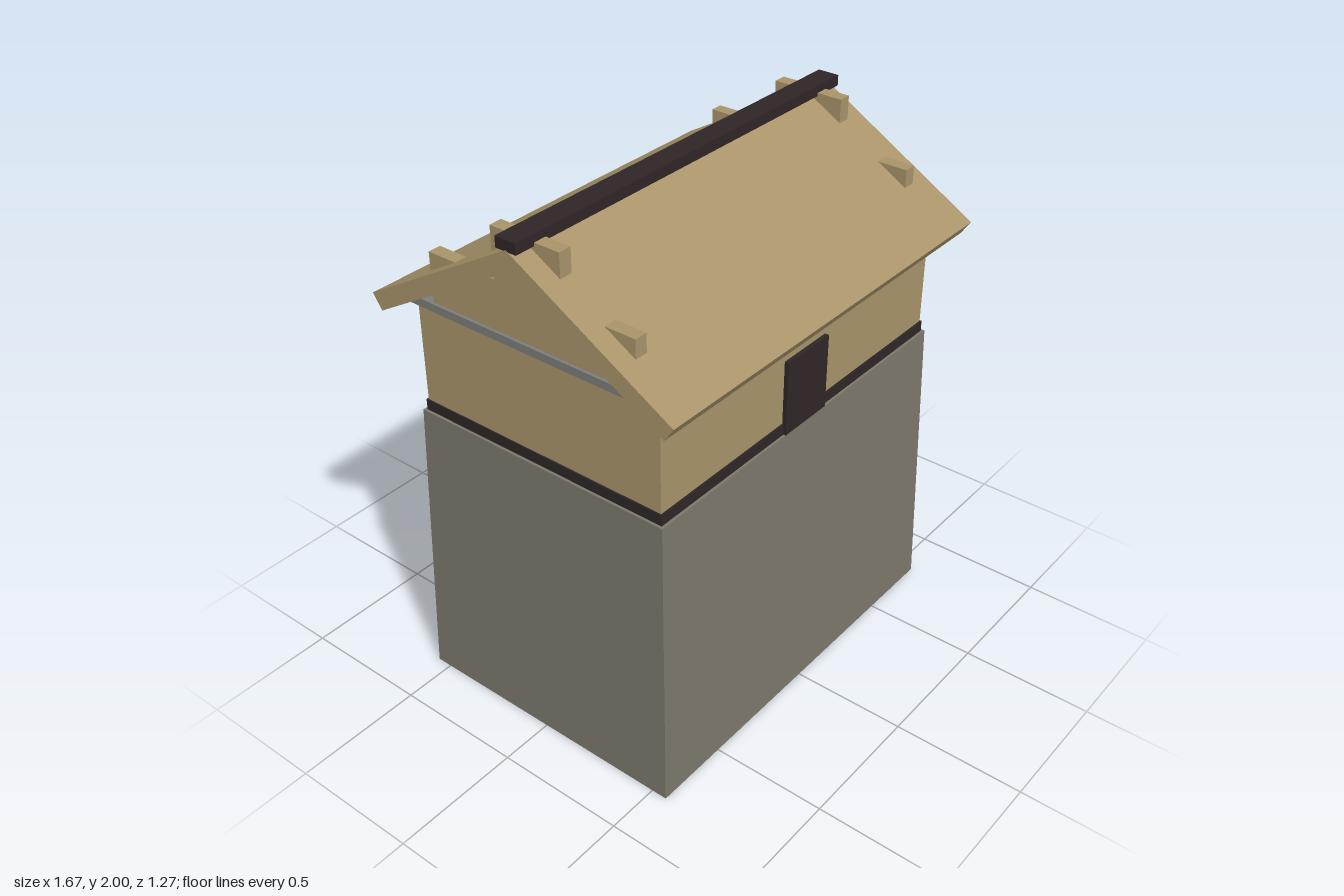
import * as THREE from 'three';

const mat = (name, color, side = THREE.FrontSide) => {
  const m = new THREE.MeshStandardMaterial({ color, side });
  m.name = name;
  return m;
};

export function createModel() {
  const stone = mat('stone', 0x7b776a, THREE.DoubleSide);
  const timber = mat('timber', 0xa89369);
  const darkWood = mat('dark wood', 0x2f2526);
  const slate = mat('grey slab', 0x7c7c7a);

  const model = new THREE.Group();
  model.name = 'storehouse';
  const add = (name, geometry, material) => {
    const mesh = new THREE.Mesh(geometry, material);
    mesh.name = name;
    model.add(mesh);
    return mesh;
  };
  // Box given by half width, bottom, top, half depth and centre
  const box = (name, hx, y0, y1, hz, material, x = 0, z = 0) =>
    add(name, new THREE.BoxGeometry(hx * 2, y1 - y0, hz * 2), material)
      .position.set(x, (y0 + y1) / 2, z);

  // Tapered stone base, open underneath
  const base = new THREE.BoxGeometry(1.59, 1.145, 1.12);
  base.translate(0, 1.145 / 2, 0);
  const p = base.attributes.position;
  for (let i = 0; i < p.count; i++) {
    if (p.getY(i) > 0.5) {
      p.setX(i, Math.sign(p.getX(i)) * 0.765);
      p.setZ(i, Math.sign(p.getZ(i)) * 0.53);
    }
  }
  const faces = Array.from(base.index.array);
  faces.splice(18, 6); // drop the bottom face
  base.setIndex(faces);
  base.clearGroups();
  base.computeVertexNormals();
  add('stoneBase', base, stone);

  // Upper room
  box('sillBand', 0.755, 1.145, 1.187, 0.52, darkWood);
  box('walls', 0.75, 1.187, 1.57, 0.514, timber);
  box('ceilingSlab', 0.768, 1.57, 1.6, 0.533, slate);
  box('door', 0.115, 1.145, 1.43, 0.01, darkWood, 0, 0.52);

  // Stepped gable boards that poke through the roof
  for (const side of [-1, 1]) {
    box('lowerGableBoard', 0.025, 1.6, 1.785, 0.43, timber, side * 0.732);
    box('upperGableBoard', 0.025, 1.785, 1.972, 0.142, timber, side * 0.732);
  }

  // Pitched roof with square-cut eaves
  const profile = new THREE.Shape([
    [0, 1.965], [-0.635, 1.598], [-0.598, 1.543],
    [0, 1.89], [0.598, 1.543], [0.635, 1.598],
  ].map(([z, y]) => new THREE.Vector2(z, y)));
  const roof = new THREE.ExtrudeGeometry(profile, { depth: 1.67, bevelEnabled: false });
  roof.translate(0, 0, -0.835);
  roof.rotateY(Math.PI / 2);
  add('roof', roof, timber);

  box('ridgeBeam', 0.835, 1.96, 2, 0.042, darkWood);
  return model;
}
